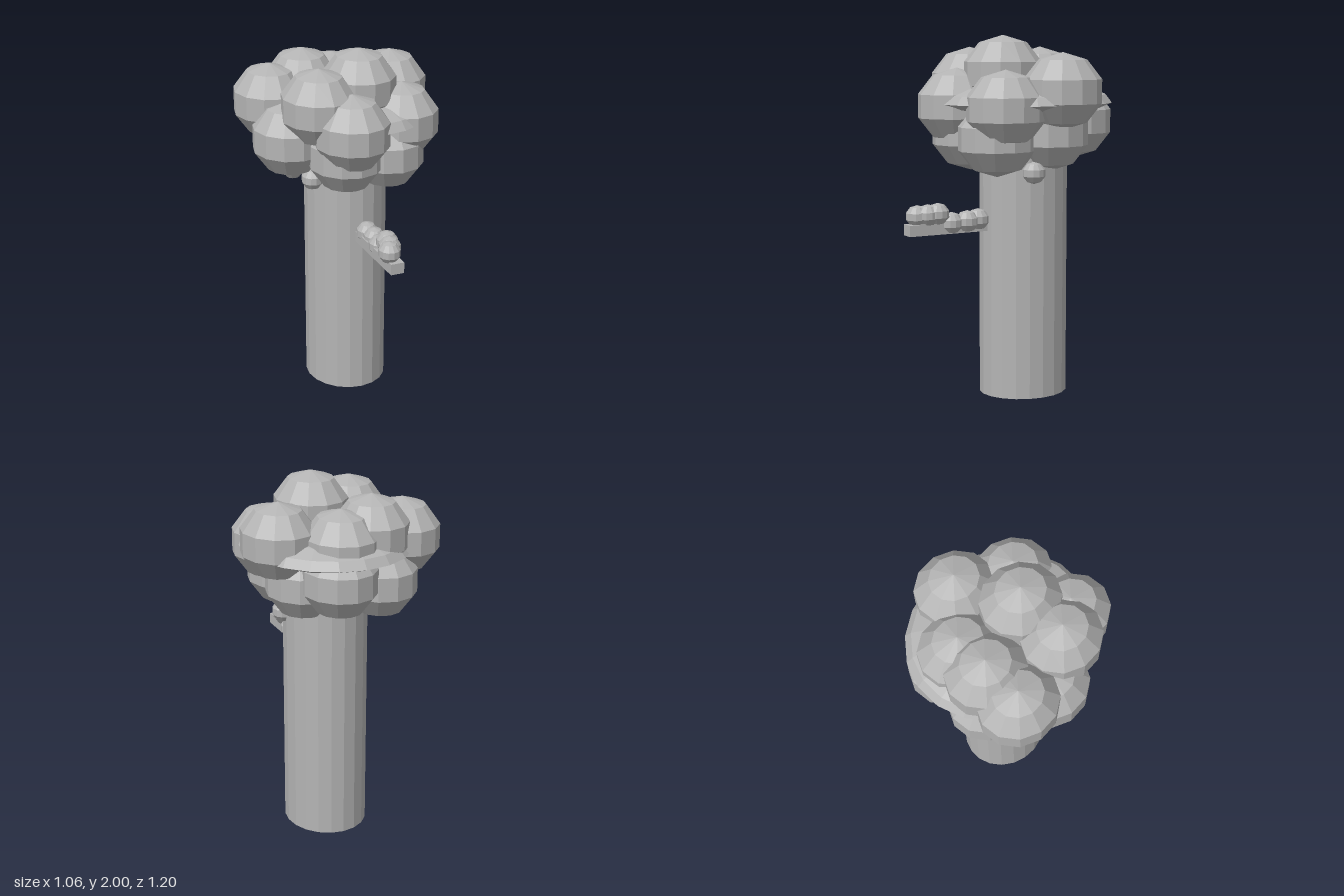
import * as THREE from 'three';

export function createModel() {
  const tree = new THREE.Group();
  tree.name = 'tree';
  const grey = new THREE.MeshStandardMaterial({ color: 0xb4b4b4, flatShading: true });
  grey.name = 'plain grey';

  const add = (geometry, name, x, y, z, parent = tree) => {
    const mesh = new THREE.Mesh(geometry, grey);
    mesh.name = name;
    mesh.position.set(x, y, z);
    parent.add(mesh);
    return mesh;
  };

  // Lathe helper: profile of [radius, y] pairs, listed from bottom to top
  const lathe = (points, sides) =>
    new THREE.LatheGeometry(points.map(([r, y]) => new THREE.Vector2(r, y)), sides);

  // Oval trunk with a shallow domed base
  const trunk = add(lathe([[0, 0.005], [1, 0.025], [1, 1.4], [0, 1.4]], 20), 'trunk', 0.04, 0, -0.098);
  trunk.scale.set(0.225, 1, 0.249);

  // Low-poly ball, slightly deeper than wide
  const ball = new THREE.SphereGeometry(1, 12, 5);
  const addBalls = (groupName, name, size, centres) => {
    const group = new THREE.Group();
    group.name = groupName;
    tree.add(group);
    for (const [x, y, z] of centres)
      add(ball, name, x, y, z, group).scale.set(size, size, size * 1.09);
  };

  // Crown: upper clumps, then the lower ring
  addBalls('crown', 'leafClump', 0.206, [
    [0.06, 1.795, 0.04], [-0.195, 1.73, 0.11], [0.265, 1.615, 0.135], [0.335, 1.705, -0.17],
    [0.06, 1.68, -0.335], [-0.13, 1.73, -0.3], [-0.335, 1.68, -0.25], [-0.07, 1.62, 0.255],
    [-0.07, 1.475, 0.17], [-0.305, 1.53, -0.04], [0.18, 1.455, 0.14],
    [0.2, 1.475, -0.17], [0.09, 1.53, -0.385], [-0.17, 1.48, -0.32],
  ]);

  // Wide flattened disc running through the crown
  const disc = add(
    lathe([[0, -0.06], [0.5, -0.055], [0.85, -0.03], [1, 0], [0.93, 0.045], [0.75, 0.08], [0.45, 0.11], [0, 0.125]], 20),
    'crownDisc', 0.04, 1.635, -0.098);
  disc.scale.set(0.45, 1, 0.5);

  // Small buds where the crown meets the trunk
  addBalls('buds', 'bud', 0.06, [[0.26, 1.27, -0.04], [-0.24, 1.3, -0.17], [-0.2, 1.3, 0.02]]);

  // Square branch with a row of little leaves
  add(new THREE.BoxGeometry(0.075, 0.06, 0.55), 'branch', 0.037, 0.975, 0.33);
  addBalls('branchLeaves', 'branchLeaf', 0.06, [
    [0.02, 1.045, 0.537], [0.045, 1.05, 0.487], [0.055, 1.055, 0.433],
    [0.05, 1.0, 0.35], [0.06, 1.005, 0.26], [0.05, 1.01, 0.19],
  ]);

  return tree;
}
